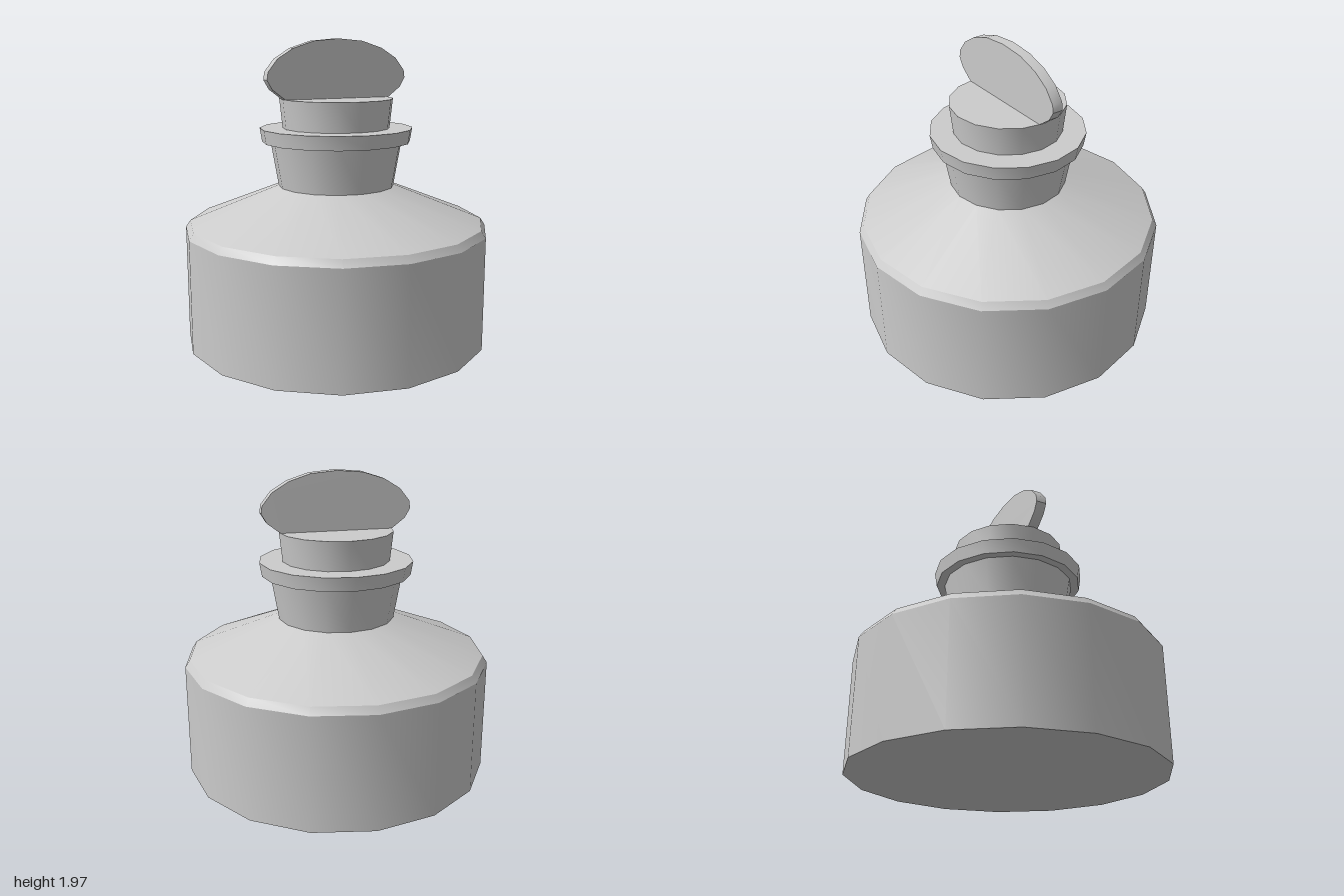
import * as THREE from 'three';
import { toCreasedNormals } from 'three/addons/utils/BufferGeometryUtils.js';

const material = new THREE.MeshStandardMaterial({ color: 0xcccccc });

function addMesh(group, name, geometry) {
  const mesh = new THREE.Mesh(toCreasedNormals(geometry, THREE.MathUtils.degToRad(31)), material);
  mesh.name = name;
  group.add(mesh);
}

// Sixteen-sided turned part from [radius, height] pairs, bottom to top
function turned(profile) {
  return new THREE.LatheGeometry(profile.map(([r, y]) => new THREE.Vector2(r, y)), 16);
}

export function createModel() {
  const group = new THREE.Group();
  group.name = 'stopperedBottle';

  // Wide body with a small bevel and sloping shoulder
  addMesh(group, 'body', turned([[0, 0], [1, 0], [1, 0.74], [0.97, 0.785], [0.38, 1.02]]));

  // Flared neck
  addMesh(group, 'neck', turned([[0.38, 1.02], [0.43, 1.31]]));

  // Projecting lip around the mouth
  addMesh(group, 'lip', turned([[0.43, 1.31], [0.485, 1.31], [0.5, 1.4], [0.35, 1.4]]));

  // Tapered stopper plug
  addMesh(group, 'stopper', turned([[0.35, 1.4], [0.37, 1.59], [0, 1.59]]));

  // Flat oval grip, cut off where it meets the stopper
  const outline = [[0.365, 1.59], [0.45, 1.655], [0.485, 1.715], [0.478, 1.765],
    [0.415, 1.845], [0.31, 1.91], [0.17, 1.955]];
  const mirrored = outline.map(([x, y]) => [-x, y]).reverse();
  const grip = new THREE.Shape([...outline, [0, 1.97], ...mirrored]
    .map(([x, y]) => new THREE.Vector2(x, y)));
  const gripGeometry = new THREE.ExtrudeGeometry(grip, { depth: 0.07, bevelEnabled: false });
  gripGeometry.translate(0, 0, -0.035);
  addMesh(group, 'stopperGrip', gripGeometry);

  return group;
}
